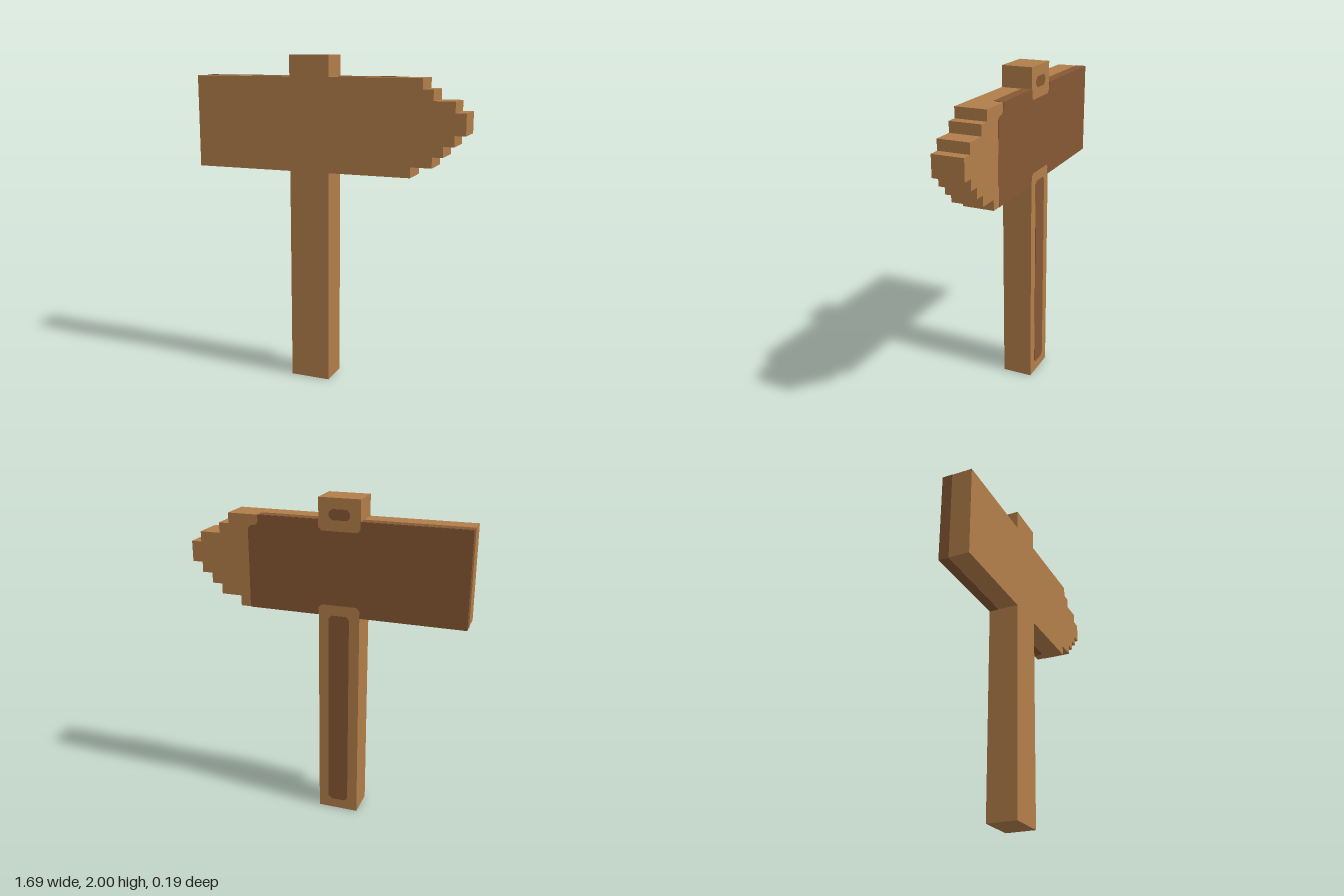
import * as THREE from 'three';

const U = 0.0625;          // one grid cell
const BACK = -1.5 * U;     // back plane
const LIFT = 0.002;        // how far painted plates stand proud

// Grid cells to units; a third value on a point cuts that corner.
function outline(points, cut = 0.3) {
  const out = [];
  const n = points.length;
  points.forEach(([x, y, trimmed], i) => {
    if (!trimmed) return out.push(new THREE.Vector2(x * U, y * U));
    for (const [nx, ny] of [points[(i + n - 1) % n], points[(i + 1) % n]]) {
      out.push(new THREE.Vector2((x + Math.sign(nx - x) * cut) * U, (y + Math.sign(ny - y) * cut) * U));
    }
  });
  return new THREE.Shape(out);
}

function slab(name, points, depth, material) {
  const geometry = new THREE.ExtrudeGeometry(outline(points), { depth, bevelEnabled: false });
  const mesh = new THREE.Mesh(geometry, material);
  mesh.name = name;
  return mesh;
}

export function createModel() {
  const wood = new THREE.MeshStandardMaterial({ color: 0xb27e4a });
  wood.name = 'light wood';
  const darkWood = new THREE.MeshStandardMaterial({ color: 0x855834 });
  darkWood.name = 'dark wood';

  const model = new THREE.Group();
  model.name = 'signpost';
  const left = -13.5 * U;

  // Post and stepped arrow board, one silhouette
  const body = slab('postAndArrowBoard', [
    [10, 0], [14, 0], [14, 21], [22, 21], [22, 22], [24, 22], [24, 23], [25, 23], [25, 24],
    [26, 24], [26, 25], [27, 25], [27, 27], [26, 27], [26, 28], [24, 28], [24, 29], [23, 29],
    [23, 30], [14, 30], [14, 32], [10, 32], [10, 30], [0, 30], [0, 21], [10, 21],
  ], 3 * U, wood);
  body.position.set(left, 0, BACK);
  model.add(body);

  // Dark panels on the back
  const panels = {
    boardBackPanel: [
      [0, 21], [10, 21], [10, 22, 1], [14, 22, 1], [14, 21], [21, 21], [21, 29, 1], [20, 29, 1],
      [20, 30], [14, 30], [14, 29, 1], [10, 29, 1], [10, 30], [0, 30],
    ],
    lowerPostPanel: [[11, 1, 1], [13, 1, 1], [13, 21, 1], [11, 21, 1]],
    upperPostPanel: [[11, 30, 1], [13, 30, 1], [13, 31, 1], [11, 31, 1]],
  };
  for (const [name, points] of Object.entries(panels)) {
    const panel = slab(name, points, LIFT * 1.5, darkWood);
    panel.position.set(left, 0, BACK - LIFT);
    model.add(panel);
  }

  // Dark strips along the back of the top and bottom edges
  const strips = [
    ['topStripRight', 0, 10, 30 * U + LIFT],
    ['topStripLeft', 14, 20, 30 * U + LIFT],
    ['bottomStripRight', 0, 10, 21 * U + LIFT / 2],
    ['bottomStripLeft', 14, 21, 21 * U + LIFT / 2],
  ];
  for (const [name, x0, x1, y] of strips) {
    const strip = slab(name, [[x0, 0], [x1, 0], [x1, 1, x1 >= 20], [x0, 1]], LIFT * 1.5, darkWood);
    strip.rotation.x = Math.PI / 2;
    strip.position.set(left, y, BACK);
    model.add(strip);
  }

  // Dark strip on the square end of the board
  const endStrip = new THREE.Mesh(new THREE.BoxGeometry(LIFT * 1.5, 9 * U, U), darkWood);
  endStrip.name = 'endStrip';
  endStrip.position.set(left - LIFT / 4, 25.5 * U, BACK + U / 2);
  model.add(endStrip);

  return model;
}
